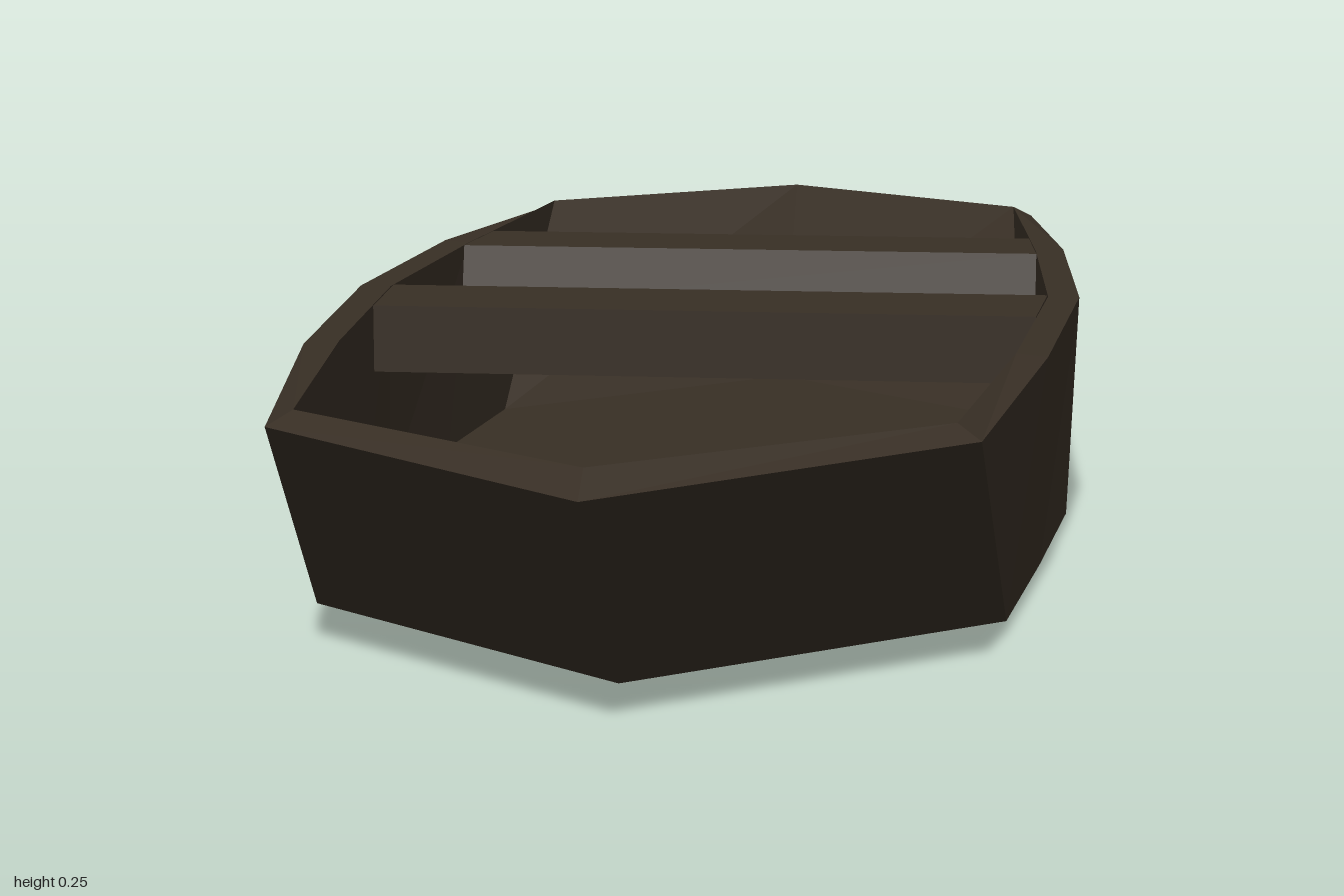
import * as THREE from 'three';

const wood = new THREE.MeshStandardMaterial({ color: 0x382f25, flatShading: true, side: THREE.DoubleSide });
wood.name = 'darkWood';

// Closed ring from half-hull points [x, y, z] listed bow tip to stern tip
function ring(half) {
  const mirrored = half.slice(1, -1).reverse().map(([x, y, z]) => [-x, y, z]);
  return [...half, ...mirrored];
}

// Triangles joining two rings
function band(a, b) {
  const out = [];
  a.forEach((p, i) => {
    const j = (i + 1) % a.length;
    out.push(p, a[j], b[j], p, b[j], b[i]);
  });
  return out;
}

// Triangles filling a ring around a centre point
function fan(r, centre, up) {
  const out = [];
  r.forEach((p, i) => {
    const q = r[(i + 1) % r.length];
    out.push(centre, ...(up ? [p, q] : [q, p]));
  });
  return out;
}

function makeMesh(name, points) {
  const g = new THREE.BufferGeometry();
  g.setAttribute('position', new THREE.Float32BufferAttribute(points.flat(), 3));
  g.computeVertexNormals();
  const m = new THREE.Mesh(g, wood);
  m.name = name;
  return m;
}

// Thwart between two z positions, each end with its own half width and depth
function thwart(name, back, front, top) {
  const section = ({ z, w, depth, lean = 0 }) => [
    [-w, top - depth, z + lean], [w, top - depth, z + lean], [w, top, z], [-w, top, z],
  ];
  const b = section(back), f = section(front);
  const quad = (p, q, r, s) => [p, q, r, p, r, s];
  return makeMesh(name, [...band(f, b), ...quad(...f), ...quad(b[1], b[0], b[3], b[2])]);
}

export function createModel() {
  const boat = new THREE.Group();
  boat.name = 'rowingBoat';
  const top = 0.245;

  // Hull outlines
  const keel = ring([
    [0, 0.012, 0.765], [0.33, 0.011, 0.49], [0.355, 0.012, 0.25], [0.377, 0.013, 0],
    [0.355, 0.012, -0.25], [0.33, 0.011, -0.51], [0, 0.012, -0.79],
  ]);
  const gunwale = ring([
    [0, 0.223, 1], [0.315, 0.232, 0.752], [0.363, top, 0.38], [0.387, top, -0.01],
    [0.363, top, -0.38], [0.315, 0.232, -0.787], [0, 0.223, -1],
  ]);
  const innerRim = ring([
    [0, top, 0.968], [0.293, top, 0.735], [0.332, top, 0.36], [0.354, top, -0.01],
    [0.332, top, -0.36], [0.293, top, -0.77], [0, top, -0.975],
  ]);
  const floor = ring([
    [0, 0.022, 0.74], [0.312, 0.022, 0.48], [0.337, 0.022, 0.25], [0.357, 0.022, 0],
    [0.337, 0.022, -0.25], [0.314, 0.022, -0.5], [0, 0.022, -0.775],
  ]);

  boat.add(
    makeMesh('hullSides', band(keel, gunwale)),
    makeMesh('hullBottom', fan(keel, [0, 0, 0], false)),
    makeMesh('rim', band(gunwale, innerRim)),
    makeMesh('innerWalls', band(innerRim, floor)),
    makeMesh('floor', fan(floor, [0, 0.022, 0], true)),
  );

  // Seats level with the rim
  boat.add(
    thwart('middleSeat', { z: -0.02, w: 0.353, depth: 0.07 }, { z: 0.13, w: 0.345, depth: 0.07 }, top),
    thwart('rearSeat', { z: -0.47, w: 0.321, depth: 0.03 }, { z: -0.34, w: 0.333, depth: 0.07, lean: 0.02 }, top),
  );
  return boat;
}
